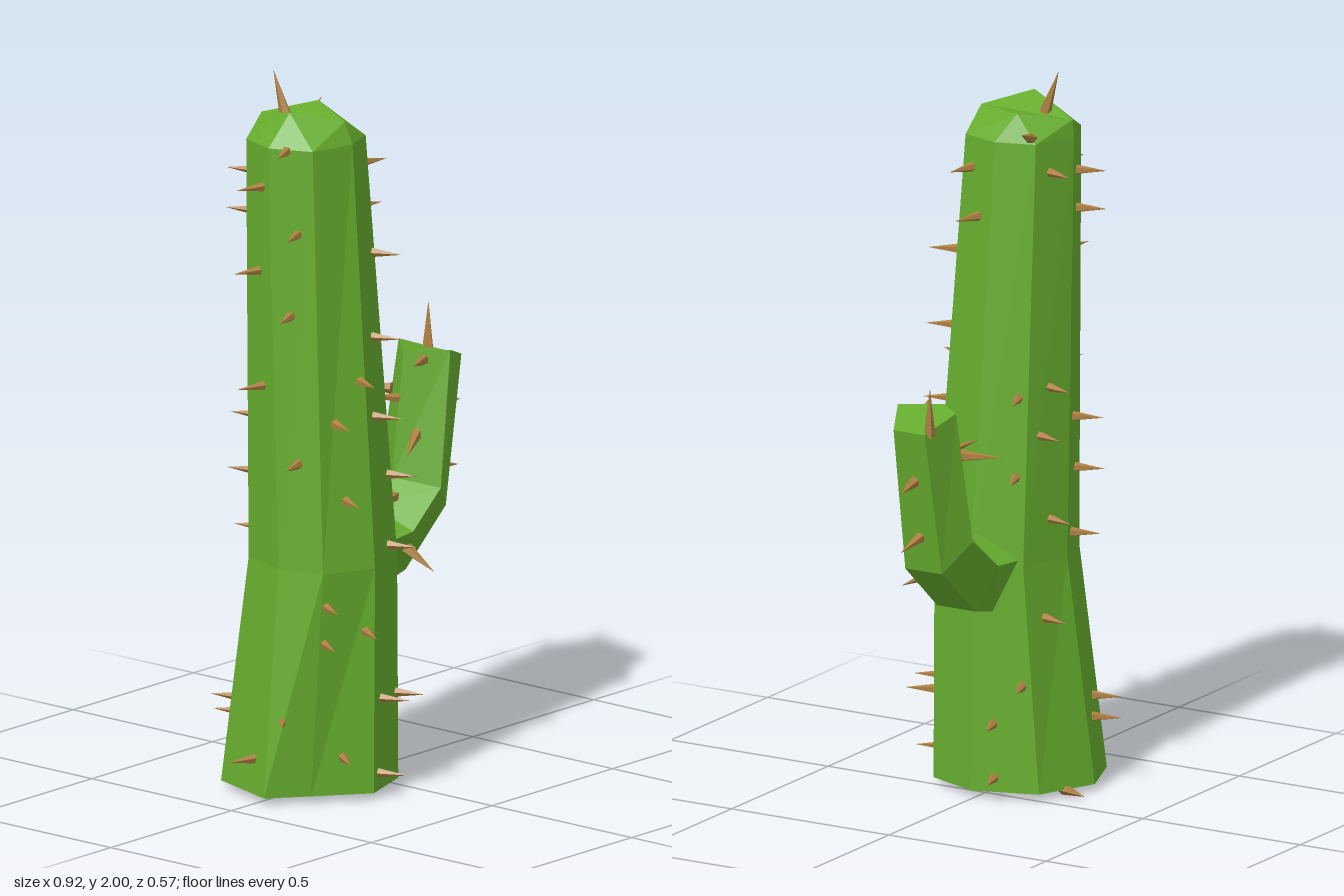
import * as THREE from 'three';

const green = new THREE.MeshStandardMaterial({ color: 0x66ad2e, flatShading: true });
green.name = 'cactus green';
const brown = new THREE.MeshStandardMaterial({ color: 0xad7f40, flatShading: true });
brown.name = 'spine brown';

const UP = new THREE.Vector3(0, 1, 0);
const V = (x, y, z) => new THREE.Vector3(x, y, z);

// Faceted skin through rings of points, closed at both ends
function loft(rings) {
  const pos = [];
  const tri = (a, b, c) => {
    const area = b.clone().sub(a).cross(c.clone().sub(a)).length();
    if (area > 1e-6) for (const p of [a, b, c]) pos.push(p.x, p.y, p.z);
  };
  const n = rings[0].length;
  for (let r = 0; r < rings.length - 1; r++) {
    for (let k = 0; k < n; k++) {
      const j = (k + 1) % n, lo = rings[r], hi = rings[r + 1];
      tri(lo[k], lo[j], hi[j]);
      tri(lo[k], hi[j], hi[k]);
    }
  }
  const first = rings[0], last = rings[rings.length - 1];
  for (let k = 1; k < n - 1; k++) {
    tri(first[0], first[k + 1], first[k]);
    tri(last[0], last[k], last[k + 1]);
  }
  const geo = new THREE.BufferGeometry();
  geo.setAttribute('position', new THREE.Float32BufferAttribute(pos, 3));
  geo.computeVertexNormals();
  return geo;
}

// Trunk rings, counterclockwise from the front corner: [x, z]
const ringAt = (y, pts) => pts.map(([x, z]) => V(x, y, z));
const base = ringAt(0.02, [[-0.165, 0.22], [0, 0.165], [0.06, 0.01], [0, -0.17],
  [-0.17, -0.243], [-0.335, -0.18], [-0.4, 0.03], [-0.3, 0.112]]);
const waist = ringAt(0.65, [[-0.16, 0.22], [-0.005, 0.165], [0.055, 0.015], [0, -0.12],
  [-0.155, -0.165], [-0.29, -0.12], [-0.335, 0.025], [-0.3, 0.155]]);
const shoulder = ringAt(1.825, [[-0.155, 0.135], [-0.06, 0.1], [-0.03, -0.01], [-0.065, -0.12],
  [-0.19, -0.165], [-0.3, -0.12], [-0.335, -0.01], [-0.285, 0.105]]);
// Irregular crown, where neighbouring corners merge
const cf = V(-0.158, 1.885, 0.11), cr = V(-0.077, 1.9, -0.054);
const cb = V(-0.19, 1.872, -0.16), cl = V(-0.27, 1.915, 0.01);
const crown = [cf, cf, cr, cr, cb, cb, cl, cl];

// Five-sided arm section from its inner point, outer point and half depth
function armRing([ix, iy], [ox, oy], h) {
  const sx = ox + (ix - ox) * 0.57, sy = oy + (iy - oy) * 0.57 + 0.02;
  return [V(ix, iy, 0), V(sx, sy, h + 0.005), V(ox, oy, h * 0.52),
    V(ox, oy, -h * 0.52), V(sx, sy, -h + 0.01)];
}

const spineGeo = new THREE.ConeGeometry(0.017, 1, 5);
function spine(from, to, name) {
  const dir = to.clone().sub(from), len = dir.length();
  const m = new THREE.Mesh(spineGeo, brown);
  m.name = name;
  m.scale.y = len;
  m.position.copy(from).addScaledVector(dir, 0.5);
  m.quaternion.setFromUnitVectors(UP, dir.normalize());
  return m;
}

// Spine standing square on a trunk face: face index, place across it, height
function trunkSpine([face, t, y]) {
  const [lo, hi] = y < 0.65 ? [base, waist] : [waist, shoulder];
  const f = (y - lo[0].y) / (hi[0].y - lo[0].y);
  const j = (face + 1) % 8;
  const a = lo[face].clone().lerp(hi[face], f), b = lo[j].clone().lerp(hi[j], f);
  const out = V(a.z - b.z, 0, b.x - a.x).normalize();
  const p = a.lerp(b, t);
  p.y = y;
  return spine(p.clone().addScaledVector(out, -0.02), p.clone().addScaledVector(out, 0.083), 'trunkSpine');
}

const trunkSpines = [
  // front
  [0, 0.9, 1.5], [0, 0.55, 1.275], [0, 0.35, 1.06], [0, 0.85, 0.88], [0, 0.65, 0.69],
  [0, 0.3, 0.275], [0, 0.93, 0.265], [0, 0.2, 0.07],
  // front left corner
  [7, 0.9, 1.17], [7, 0.35, 1.06], [7, 0.5, 0.845], [7, 0.1, 0.555], [7, 0.1, 0.45],
  [7, 0.85, 0.475], [7, 0.5, 0.125],
  // -x side
  [6, 0.4, 1.82], [6, 0.6, 1.59], [6, 0.4, 1.36], [6, 0.5, 0.95], [6, 0.3, 0.235],
  [5, 0.7, 1.71], [5, 0.5, 1.47], [5, 0.6, 1.15], [5, 0.7, 0.115],
  // +x side
  [1, 0.3, 1.74], [1, 0.6, 1.61], [2, 0.8, 1.12], [2, 0.8, 0.9], [2, 0.85, 0.32],
  [2, 0.35, 0.21], [2, 0.35, 0.06],
  // back
  [3, 0.4, 1.74], [3, 0.5, 1.14], [3, 0.3, 1.01], [3, 0.6, 0.77], [3, 0.4, 0.5], [3, 0.5, 0.018],
  [4, 0.4, 1.72], [4, 0.5, 1.61], [4, 0.4, 1.03], [4, 0.6, 0.88], [4, 0.3, 0.71],
  [4, 0.6, 0.24], [4, 0.4, 0.19],
];

// Root and tip of each remaining spine
const crownSpines = [
  [-0.195, 1.88, -0.07, -0.197, 2.0, -0.112], [-0.08, 1.835, -0.1, 0.025, 1.875, -0.13],
];
const armSpines = [
  [0.372, 1.1, -0.05, 0.385, 1.24, -0.06], [0.365, 0.965, 0, 0.47, 0.955, -0.02],
  [0.335, 0.8, 0, 0.44, 0.78, 0], [0.25, 1.12, 0.04, 0.15, 1.13, 0.09],
  [0.22, 1.01, 0, 0.11, 1.03, -0.05], [0.22, 0.92, 0.04, 0.11, 0.885, 0.1],
  [0.14, 0.755, 0.03, 0.04, 0.77, 0.08], [0.11, 0.63, 0.1, 0.11, 0.58, 0.2],
  [0.25, 1.02, -0.075, 0.21, 1.02, -0.18],
];

export function createModel() {
  const group = new THREE.Group();
  group.name = 'cactus';

  const trunk = new THREE.Mesh(loft([base, waist, shoulder, crown]), green);
  trunk.name = 'trunk';

  const arm = new THREE.Mesh(loft([
    armRing([-0.03, 0.74], [0.065, 0.535], 0.12),
    armRing([0.08, 0.74], [0.15, 0.555], 0.118),
    armRing([0.165, 0.8], [0.32, 0.7], 0.112),
    armRing([0.212, 1.145], [0.395, 1.108], 0.095),
  ]), green);
  arm.name = 'arm';
  group.add(trunk, arm);

  for (const s of trunkSpines) group.add(trunkSpine(s));
  for (const [name, list] of [['crownSpine', crownSpines], ['armSpine', armSpines]]) {
    for (const s of list) group.add(spine(V(...s.slice(0, 3)), V(...s.slice(3)), name));
  }
  return group;
}
